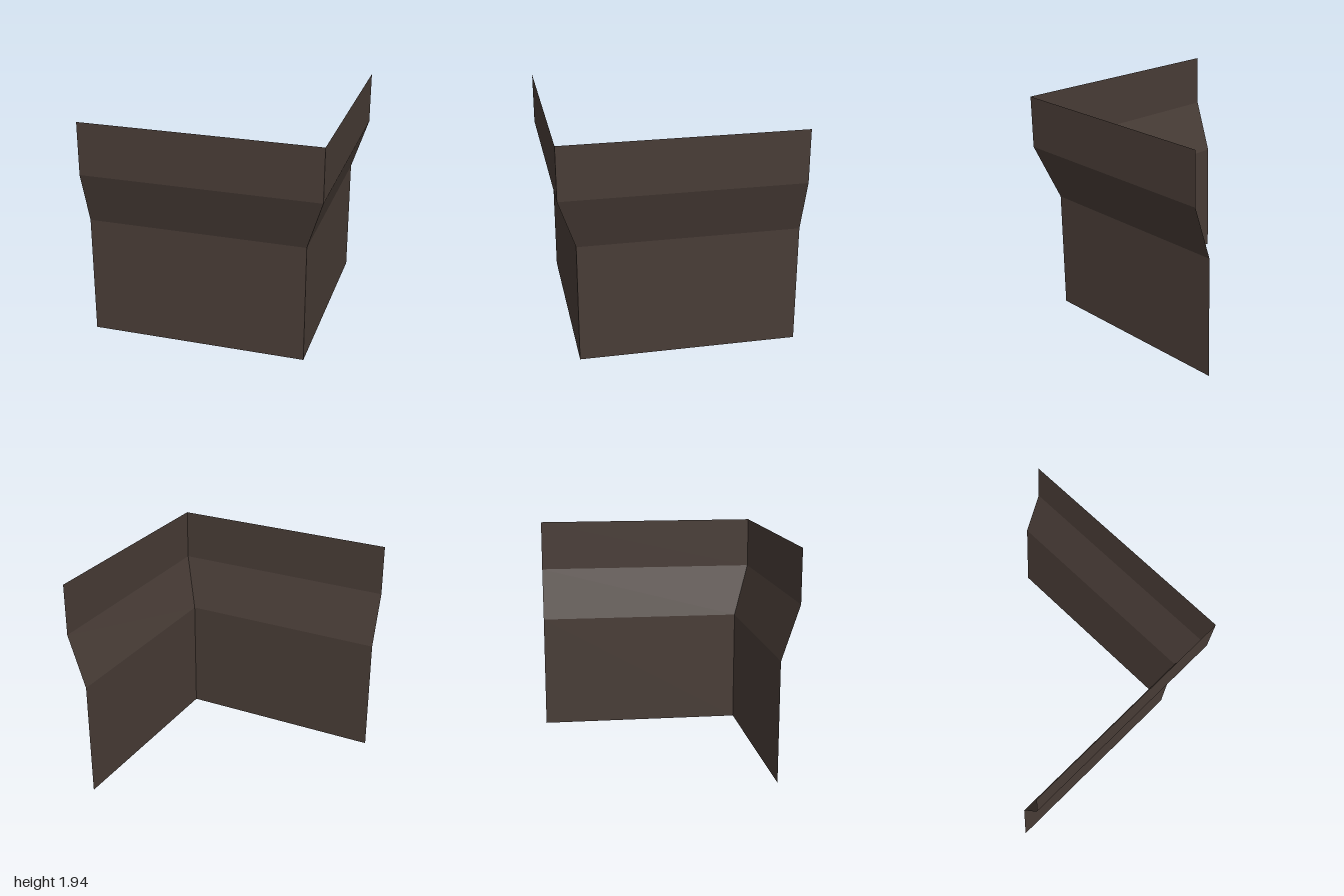
import * as THREE from 'three';

// Wall profile: [outward offset, height], from the foot to the top edge
const PROFILE = [[0.85, 0], [0.85, 1.03], [1, 1.49], [1, 1.94]];
const BAND_NAMES = ['LowerPanel', 'FlaredPanel', 'UpperPanel'];

// One flat four-cornered panel, corners anticlockwise seen from outside
function panel(corners, material, name) {
  const [a, b, c, d] = corners;
  const geometry = new THREE.BufferGeometry();
  geometry.setAttribute('position',
    new THREE.Float32BufferAttribute([a, b, c, a, c, d].flat(), 3));
  geometry.computeVertexNormals();
  const mesh = new THREE.Mesh(geometry, material);
  mesh.name = name;
  return mesh;
}

export function createModel() {
  const model = new THREE.Group();
  model.name = 'cornerWall';
  const darkBrown = new THREE.MeshStandardMaterial({ color: 0x483c36, side: THREE.DoubleSide });
  darkBrown.name = 'darkBrown';

  const front = new THREE.Group();
  front.name = 'frontWall';
  const side = new THREE.Group();
  side.name = 'sideWall';

  // Both walls follow the profile and meet in a mitred corner at +x, +z
  BAND_NAMES.forEach((band, i) => {
    const [o0, y0] = PROFILE[i];
    const [o1, y1] = PROFILE[i + 1];
    front.add(panel([[-1, y0, o0], [o0, y0, o0], [o1, y1, o1], [-1, y1, o1]], darkBrown, 'front' + band));
    side.add(panel([[o0, y0, o0], [o0, y0, -1], [o1, y1, -1], [o1, y1, o1]], darkBrown, 'side' + band));
  });

  model.add(front, side);
  return model;
}
